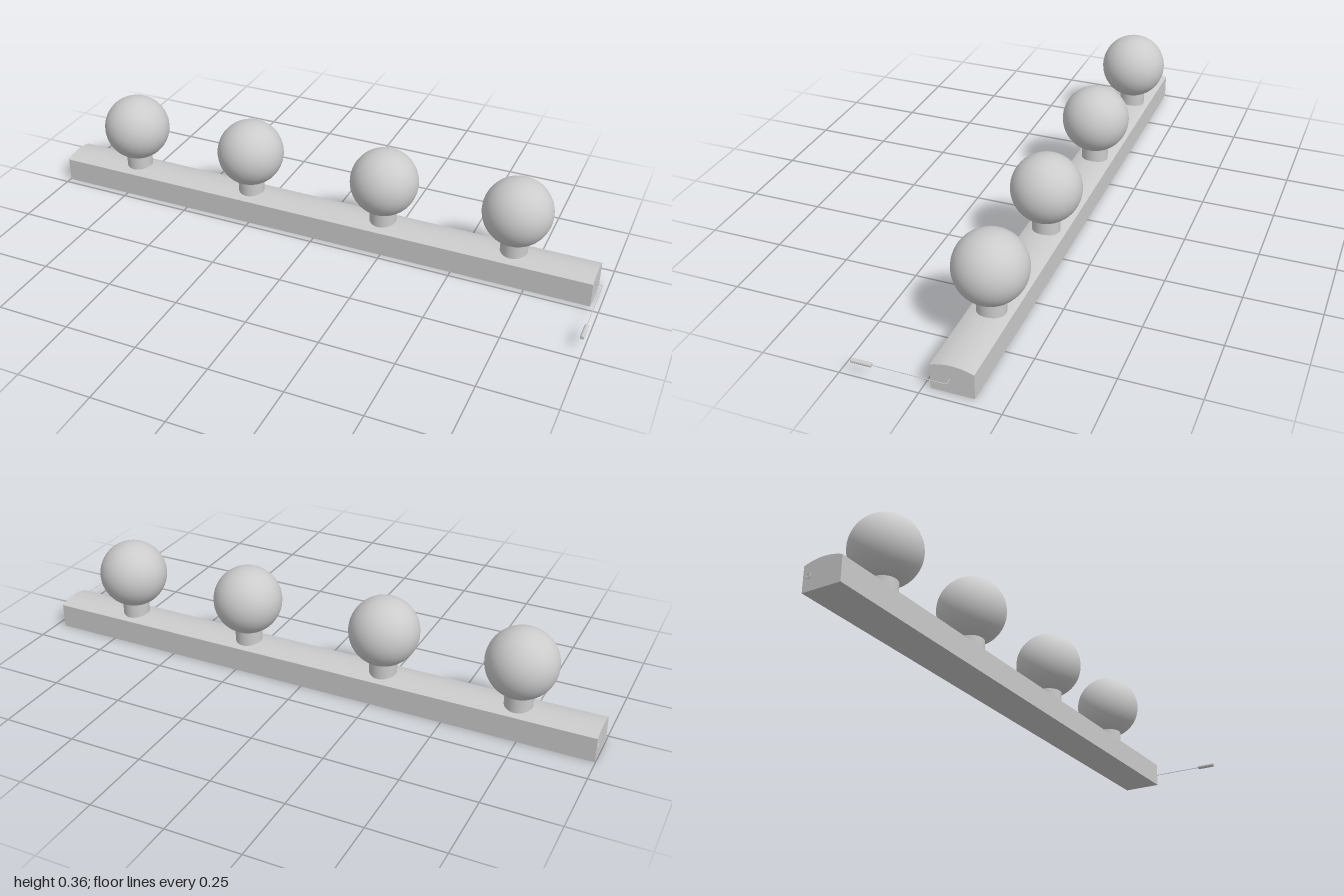
import * as THREE from 'three';
import { toCreasedNormals } from 'three/addons/utils/BufferGeometryUtils.js';

export function createModel() {
  const model = new THREE.Group();
  const material = new THREE.MeshStandardMaterial({ color: 0xcccccc });
  const add = (name, geometry, x, y, z, parent = model) => {
    const mesh = new THREE.Mesh(geometry, material);
    mesh.name = name;
    mesh.position.set(x, y, z);
    parent.add(mesh);
    return mesh;
  };

  // Long base bar with a gently domed top, extruded along x
  const half = 0.0675, side = 0.084, rise = 0.013;
  const radius = (half * half + rise * rise) / (2 * rise);
  const angle = Math.asin(half / radius);
  const profile = new THREE.Shape();
  profile.moveTo(-half, 0);
  profile.lineTo(half, 0);
  profile.lineTo(half, side);
  profile.absarc(0, side + rise - radius, radius, Math.PI / 2 - angle, Math.PI / 2 + angle, false);
  profile.closePath();
  const bar = new THREE.ExtrudeGeometry(profile, { depth: 1.967, bevelEnabled: false, curveSegments: 20 });
  bar.rotateY(Math.PI / 2);
  add('baseBar', toCreasedNormals(bar, 0.3), -0.998, 0, -0.09);

  // Four globe bulbs on cylindrical sockets
  for (const x of [-0.73, -0.27, 0.23, 0.69]) {
    const lamp = new THREE.Group();
    lamp.name = 'lamp';
    lamp.position.set(x, 0, -0.093);
    model.add(lamp);
    add('socket', new THREE.CylinderGeometry(0.046, 0.046, 0.075, 40), 0, 0.1225, 0, lamp);
    add('globe', new THREE.SphereGeometry(0.116, 48, 32), 0, 0.247, 0, lamp);
  }

  // Pull cord leaving the end of the bar and turning forward
  const cord = new THREE.CurvePath();
  const point = (x, z) => new THREE.Vector3(x, 0.049, z);
  cord.add(new THREE.LineCurve3(point(0.96, -0.083), point(0.982, -0.083)));
  cord.add(new THREE.QuadraticBezierCurve3(point(0.982, -0.083), point(0.991, -0.083), point(0.991, -0.074)));
  cord.add(new THREE.LineCurve3(point(0.991, -0.074), point(0.991, 0.15)));
  add('pullCord', new THREE.TubeGeometry(cord, 100, 0.0012, 8), 0, 0, 0);

  // Cord handle with slightly rounded ends
  const handle = new THREE.LatheGeometry([
    [0, -0.0325], [0.0055, -0.0325], [0.0068, -0.031],
    [0.0068, 0.031], [0.0055, 0.0325], [0, 0.0325],
  ].map(([r, y]) => new THREE.Vector2(r, y)), 20);
  handle.rotateX(Math.PI / 2);
  add('cordHandle', toCreasedNormals(handle, 0.5), 0.991, 0.049, 0.1795);

  // Small cable grommet on the opposite end
  const grommet = new THREE.TorusGeometry(0.007, 0.002, 8, 20);
  grommet.rotateY(Math.PI / 2);
  add('cableGrommet', grommet, -0.998, 0.049, -0.138);

  return model;
}
